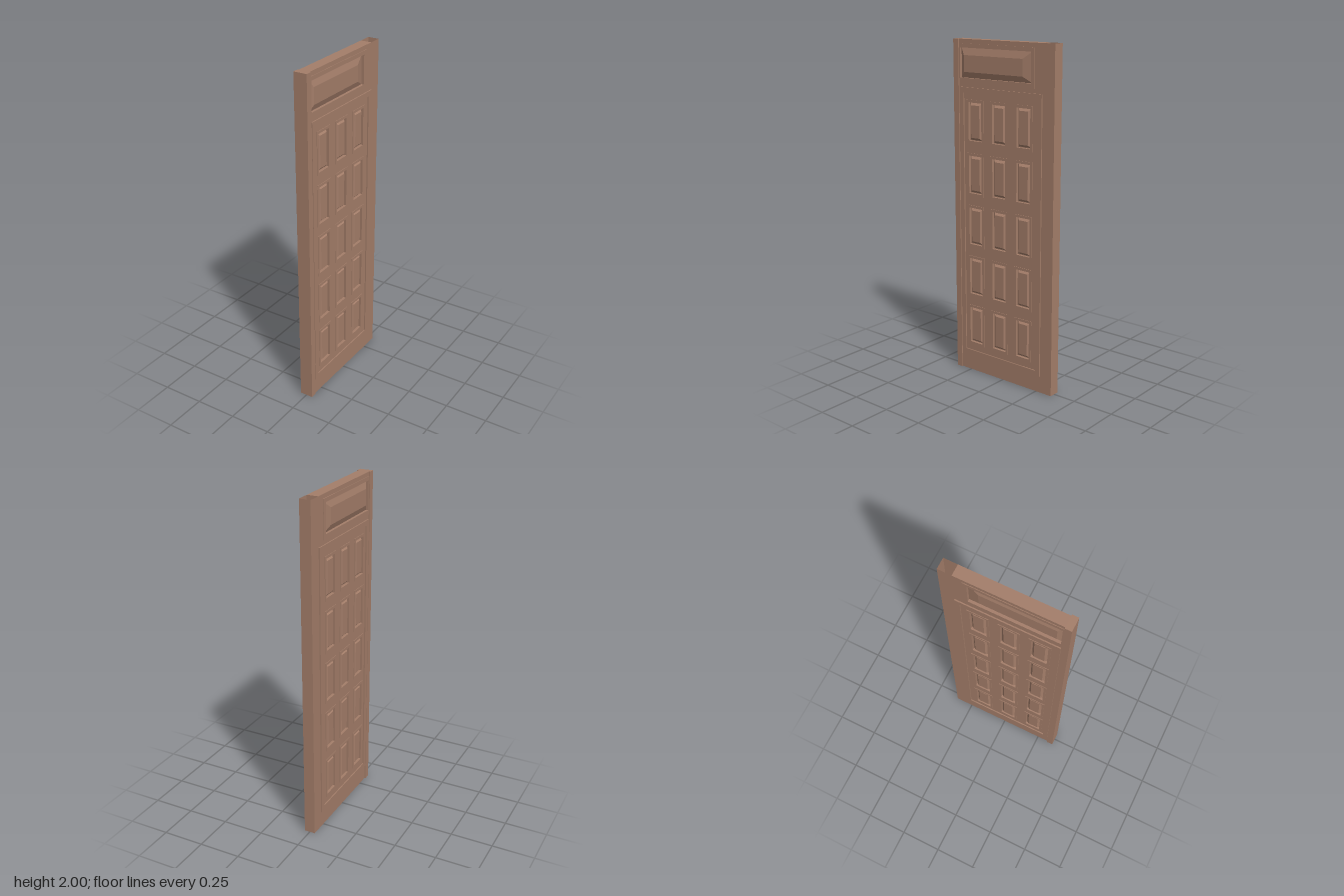
import * as THREE from 'three';

const wood = new THREE.MeshStandardMaterial({ color: 0xa37d69 });
const woodThin = new THREE.MeshStandardMaterial({ color: 0xa37d69, side: THREE.DoubleSide });

// Key planes: inner slab, door face and raised moulding (half thicknesses)
const SLAB = 0.02, FACE = 0.033, MOULD = 0.04;
const BACK = -0.278, FRONT = 0.32;

function add(parent, name, geometry, material = wood) {
  const mesh = new THREE.Mesh(geometry, material);
  mesh.name = name;
  parent.add(mesh);
  return mesh;
}

function box(parent, name, x, y0, y1, z0, z1) {
  const mesh = add(parent, name, new THREE.BoxGeometry(2 * x, y1 - y0, z1 - z0));
  mesh.position.set(0, (y0 + y1) / 2, (z0 + z1) / 2);
  return mesh;
}

// Rectangles are { z0, z1, y0, y1 }
const rect = (z0, z1, y0, y1) => ({ z0, z1, y0, y1 });
const inset = (r, d) => rect(r.z0 + d, r.z1 - d, r.y0 + d, r.y1 - d);

function trace(path, r, s) {
  const a = Math.min(-s * r.z0, -s * r.z1), b = Math.max(-s * r.z0, -s * r.z1);
  path.moveTo(a, r.y0);
  path.lineTo(b, r.y0);
  path.lineTo(b, r.y1);
  path.lineTo(a, r.y1);
  path.closePath();
  return path;
}

// Flat plate with rectangular openings, between two depths
function plate(outer, holes, d0, d1, s) {
  const shape = trace(new THREE.Shape(), outer, s);
  holes.forEach(h => shape.holes.push(trace(new THREE.Path(), h, s)));
  return new THREE.ExtrudeGeometry(shape, { depth: d1 - d0, bevelEnabled: false }).translate(0, 0, d0);
}

// Raised panel: a box whose outer face shrinks to the field rectangle
function raisedPanel(base, field, d0, d1, s) {
  const geometry = new THREE.BoxGeometry(1, 1, 1);
  const p = geometry.attributes.position;
  for (let i = 0; i < p.count; i++) {
    const top = p.getZ(i) > 0, r = top ? field : base;
    const z = p.getX(i) * s < 0 ? r.z1 : r.z0;
    p.setXYZ(i, -s * z, p.getY(i) > 0 ? r.y1 : r.y0, top ? d1 : d0);
  }
  geometry.computeVertexNormals();
  return geometry;
}

function doorFace(s) {
  const face = new THREE.Group();
  face.name = s > 0 ? 'leftFace' : 'rightFace';
  face.rotation.y = s * Math.PI / 2;

  // Grid of small panels, three columns by five rows
  const panels = [];
  for (const z of [0.203, 0.026, -0.15])
    for (let row = 0; row < 5; row++) {
      const y = 0.295 + row * 0.31;
      panels.push(rect(z - 0.063, z + 0.063, y - 0.126, y + 0.126));
    }
  const openings = panels.map(r => inset(r, 0.015));

  // Wide panel at the top, running up to the front edge strip
  const topTrim = rect(-0.225, 0.319, 1.755, 1.975);
  const topOpening = rect(-0.2, 0.312, 1.782, 1.952);
  const topField = rect(-0.14, 0.285, 1.815, 1.91);

  add(face, 'faceBoard',
    plate(rect(BACK, FRONT, 0, 2), [...openings, topOpening], SLAB, FACE, s));

  panels.forEach((r, i) => {
    add(face, 'panelTrim', plate(r, [openings[i]], FACE, FACE + 0.003, s));
    add(face, 'raisedPanel',
      raisedPanel(inset(openings[i], 0.004), inset(openings[i], 0.017), SLAB, FACE, s));
  });

  add(face, 'topPanelTrim', plate(topTrim, [topOpening], FACE, FACE + 0.003, s));
  add(face, 'topRaisedPanel', raisedPanel(topOpening, topField, SLAB, FACE, s));

  // Moulding that frames the panel grid
  const frame = rect(BACK, 0.315, 0.1, 1.73);
  add(face, 'frameMoulding', plate(frame, [inset(frame, 0.03)], FACE, MOULD, s));
  return face;
}

export function createModel() {
  const door = new THREE.Group();
  door.name = 'door';

  box(door, 'core', SLAB, 0, 2, BACK, FRONT);
  box(door, 'frontEdgeStrip', MOULD, 0, 2, FRONT, 0.358);
  for (const s of [1, -1]) door.add(doorFace(s));

  // Hollow rear stile, open at the top
  const zMid = (BACK - 0.358) / 2, depth = BACK + 0.358;
  const stile = new THREE.Group();
  stile.name = 'rearStile';
  for (const s of [1, -1]) {
    const side = add(stile, 'stileSide', new THREE.PlaneGeometry(depth, 2), woodThin);
    side.rotation.y = s * Math.PI / 2;
    side.position.set(s * FACE, 1, zMid);
  }
  const end = add(stile, 'stileEnd', new THREE.PlaneGeometry(2 * FACE, 2), woodThin);
  end.rotation.y = Math.PI;
  end.position.set(0, 1, -0.358);
  const foot = add(stile, 'stileFoot', new THREE.PlaneGeometry(2 * FACE, depth), woodThin);
  foot.rotation.x = Math.PI / 2;
  foot.position.set(0, 0, zMid);
  door.add(stile);

  return door;
}
